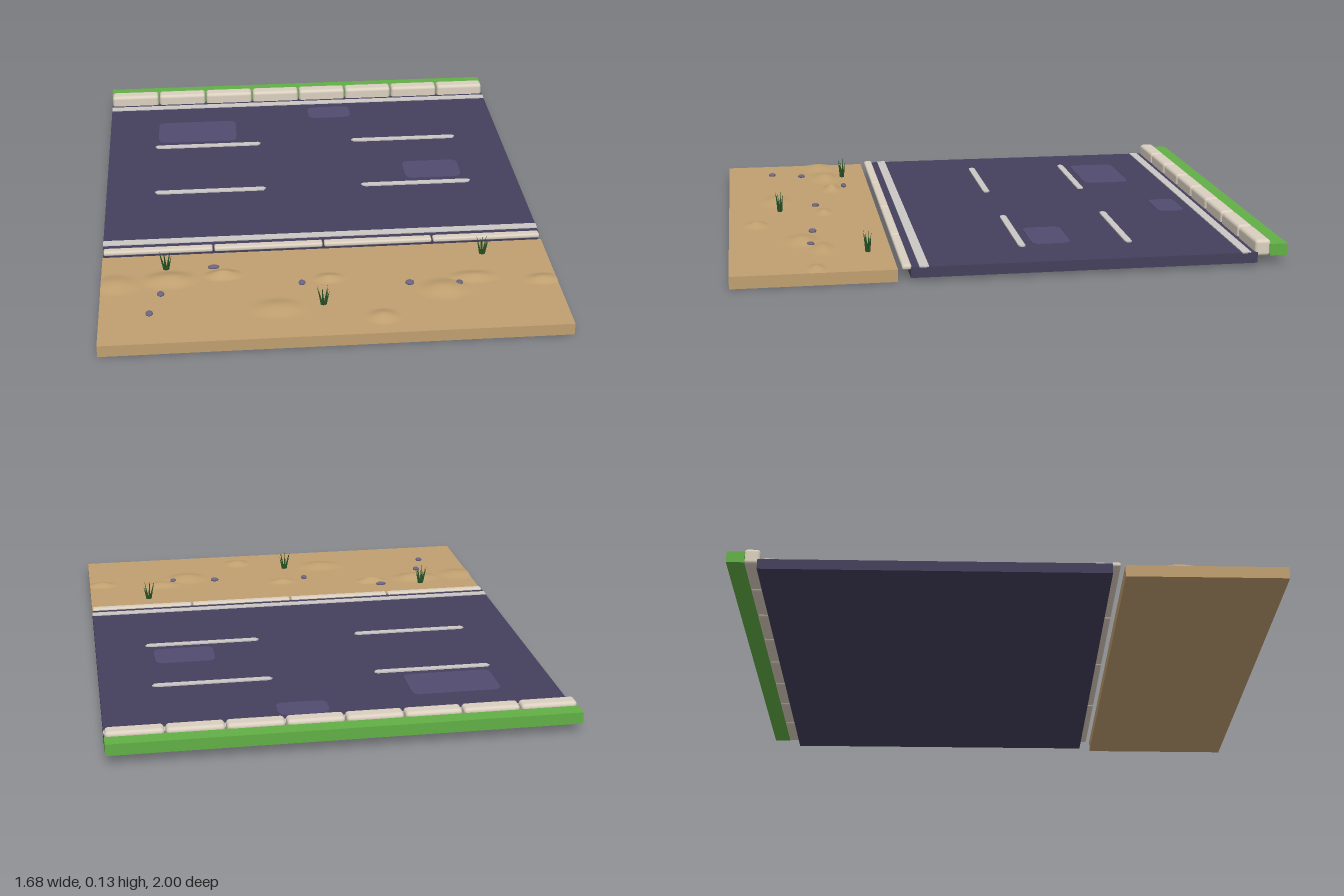
import * as THREE from 'three';
import { RoundedBoxGeometry } from 'three/addons/geometries/RoundedBoxGeometry.js';

const mat = (color, extra = {}) => {
  const m = new THREE.MeshStandardMaterial({ color });
  return Object.assign(m, extra);
};

const HALF = 0.84; // half width of the street piece
const SAND_TOP = 0.045;
const ROAD_TOP = 0.051;

export function createModel() {
  const root = new THREE.Group();
  const sand = mat(0xc0a070);
  const asphalt = mat(0x443f5c);
  const patchMat = mat(0x514b70);
  const paint = mat(0xcac7c4);
  const stone = mat(0xdbd0c0);
  const grass = mat(0x62b045);
  const pebbleMat = mat(0x6a6480, { flatShading: true });
  const bladeMat = mat(0x2b5a2c, { side: THREE.DoubleSide });

  const add = (name, geometry, material, parent = root) => {
    const mesh = new THREE.Mesh(geometry, material);
    mesh.name = name;
    parent.add(mesh);
    return mesh;
  };
  // Box given by its limits
  const slab = (name, material, x0, x1, y0, y1, z0, z1) => {
    const g = new THREE.BoxGeometry(x1 - x0, y1 - y0, z1 - z0);
    g.translate((x0 + x1) / 2, (y0 + y1) / 2, (z0 + z1) / 2);
    return add(name, g, material);
  };
  // Flat outline in x/z, raised from y0 to y1
  const plate = (name, shape, material, y0, y1) => {
    const g = new THREE.ExtrudeGeometry(shape, { depth: y1 - y0, bevelEnabled: false, curveSegments: 6 });
    g.rotateX(-Math.PI / 2).translate(0, y0, 0);
    return add(name, g, material);
  };

  // Main layers
  slab('sandGround', sand, -HALF, HALF, 0, SAND_TOP, 0.415, 1);
  slab('road', asphalt, -HALF, HALF, 0.012, ROAD_TOP, -0.89, 0.37);
  slab('grassVerge', grass, -HALF, HALF, 0.037, 0.08, -1, -0.935);

  // Rows of rounded kerb stones
  const kerb = (name, count, y0, y1, z0, z1, radius) => {
    const step = (2 * HALF) / count;
    for (let i = 0; i < count; i++) {
      const g = new RoundedBoxGeometry(step - 0.006, y1 - y0, z1 - z0, 3, radius);
      const m = add(name, g, stone);
      m.position.set(-HALF + step * (i + 0.5), (y0 + y1) / 2, (z0 + z1) / 2);
    }
  };
  kerb('backKerbStone', 8, 0.034, 0.095, -0.94, -0.882, 0.013);
  kerb('frontKerbStone', 4, 0.041, 0.059, 0.367, 0.4, 0.007);

  // Edge lines
  for (const [z0, z1] of [[-0.865, -0.832], [0.306, 0.34]])
    slab('edgeLine', paint, -HALF, HALF, ROAD_TOP - 0.002, 0.0545, z0, z1);

  // Lane dashes with worn, pointed ends
  for (const z of [-0.462, -0.062])
    for (const x of [-0.42, 0.42]) {
      const s = new THREE.Shape([
        [-0.225, 0.003], [-0.216, -0.011], [-0.2, -0.013], [0.2, -0.013], [0.216, -0.011],
        [0.225, 0.003], [0.214, 0.012], [-0.214, 0.012],
      ].map(([a, b]) => new THREE.Vector2(a + x, b - z)));
      plate('laneDash', s, paint, ROAD_TOP - 0.002, 0.056);
    }

  // Rounded repair patches
  for (const [x0, x1, z0, z1] of [[-0.63, -0.295, -0.692, -0.503], [0.03, 0.217, -0.796, -0.69], [0.385, 0.617, -0.25, -0.105]]) {
    const r = 0.032, s = new THREE.Shape();
    s.moveTo(x0 + r, -z1).lineTo(x1 - r, -z1).quadraticCurveTo(x1, -z1, x1, -z1 + r);
    s.lineTo(x1, -z0 - r).quadraticCurveTo(x1, -z0, x1 - r, -z0);
    s.lineTo(x0 + r, -z0).quadraticCurveTo(x0, -z0, x0, -z0 - r);
    s.lineTo(x0, -z1 + r).quadraticCurveTo(x0, -z1, x0 + r, -z1);
    plate('roadPatch', s, patchMat, ROAD_TOP - 0.001, 0.053);
  }

  // Low sand mounds, trimmed at the ground's sides
  const mounds = [ // x, z, radius x, radius z, height
    [-0.79, 0.608, 0.11, 0.08, 0.012], [-0.59, 0.59, 0.12, 0.07, 0.018],
    [-0.39, 0.573, 0.08, 0.045, 0.02], [0, 0.626, 0.07, 0.042, 0.012],
    [-0.2, 0.81, 0.12, 0.075, 0.012], [0.17, 0.895, 0.07, 0.057, 0.014],
    [0.415, 0.73, 0.11, 0.08, 0.016], [0.53, 0.66, 0.11, 0.052, 0.012],
    [0.79, 0.695, 0.08, 0.045, 0.012],
  ];
  for (const [x, z, rx, rz, h] of mounds) {
    const profile = [];
    for (let i = 0; i <= 8; i++) {
      const t = 1 - i / 8;
      profile.push(new THREE.Vector2(t, (1 + Math.cos(Math.PI * t)) / 2));
    }
    const g = new THREE.LatheGeometry(profile, 24);
    g.scale(rx, h, rz).translate(x, SAND_TOP, z);
    const p = g.attributes.position;
    for (let i = 0; i < p.count; i++) p.setX(i, THREE.MathUtils.clamp(p.getX(i), -HALF, HALF));
    add('sandMound', g, sand);
  }

  // Pebbles
  const pebbles = [[-0.62, 0.69, 0.014], [-0.66, 0.815, 0.014], [-0.423, 0.52, 0.022],
    [-0.102, 0.655, 0.013], [0.293, 0.686, 0.017], [0.475, 0.702, 0.013]];
  for (const [x, z, r] of pebbles) {
    const m = add('pebble', new THREE.IcosahedronGeometry(1, 1), pebbleMat);
    m.scale.set(r, 0.009, r > 0.02 ? 0.011 : 0.015);
    m.position.set(x, SAND_TOP + 0.004, z);
  }

  // Grass tufts made of leaning blades
  for (const [x, z] of [[-0.6, 0.515], [0.595, 0.5], [-0.035, 0.8]]) {
    const tuft = new THREE.Group();
    tuft.name = 'grassTuft';
    tuft.position.set(x, SAND_TOP, z);
    for (let i = 0; i < 7; i++) {
      const h = 0.06 + 0.025 * ((i * 3) % 7) / 6;
      const g = new THREE.ConeGeometry(0.0045, h, 4).translate(0, h / 2, 0);
      const blade = add('grassBlade', g, bladeMat, tuft);
      const a = (i / 7) * Math.PI * 2;
      blade.position.set(Math.cos(a) * 0.007, 0, Math.sin(a) * 0.005);
      blade.rotation.set(Math.sin(a) * 0.14, 0, -Math.cos(a) * 0.25);
    }
    root.add(tuft);
  }

  return root;
}
